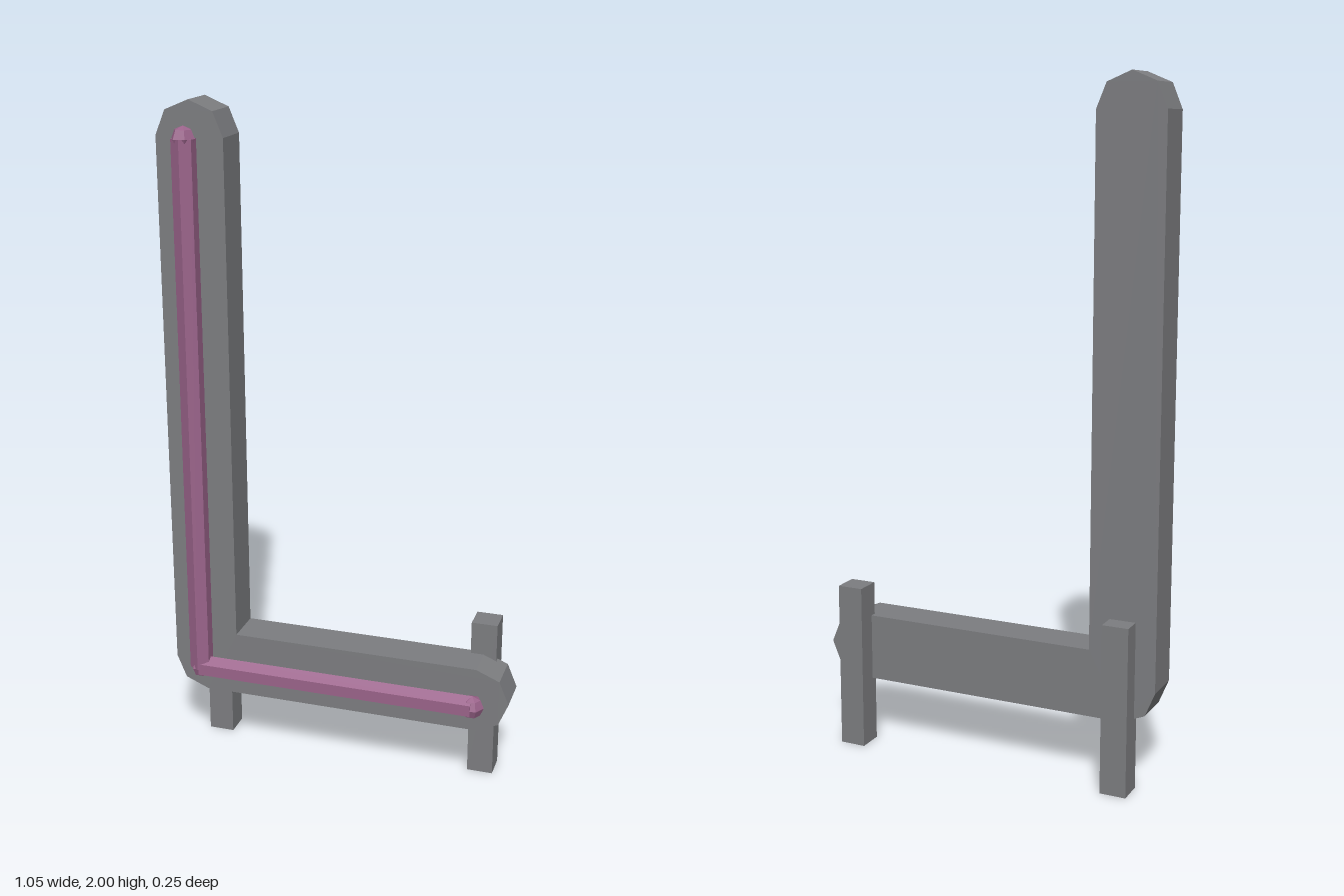
import * as THREE from 'three';

export function createModel() {
  const model = new THREE.Group();
  const grey = new THREE.MeshStandardMaterial({ color: 0x7c7d80, flatShading: true });
  grey.name = 'grey metal';
  const mauve = new THREE.MeshStandardMaterial({ color: 0x9a638a, flatShading: true });
  mauve.name = 'mauve tube';

  const add = (name, geometry, material, x, y, z) => {
    const mesh = new THREE.Mesh(geometry, material);
    mesh.name = name;
    mesh.position.set(x, y, z);
    model.add(mesh);
    return mesh;
  };

  // Bar centre lines: an upright and a foot meeting at the corner
  const X = 0.425, LOW = 0.3, HIGH = 1.9, R = 0.1;

  // Backing board with faceted round ends
  const outline = [];
  const arc = (cx, cy, from, to) => {
    for (let a = from; a <= to; a += 45) {
      const t = THREE.MathUtils.degToRad(a);
      outline.push(new THREE.Vector2(cx + R * Math.cos(t), cy + R * Math.sin(t)));
    }
  };
  arc(-X, HIGH, 0, 180);
  arc(-X, LOW, 180, 270);
  arc(X, LOW, 270, 450);
  outline.push(new THREE.Vector2(-X + R, LOW + R));
  const board = new THREE.ExtrudeGeometry(new THREE.Shape(outline), { depth: 0.12, bevelEnabled: false });
  add('backingBoard', board, grey, 0, 0, -0.07);

  // Rear support posts
  for (const side of [-1, 1]) {
    add(side < 0 ? 'rightPost' : 'leftPost', new THREE.BoxGeometry(0.078, 0.5, 0.078), grey, side * X, 0.25, -0.09);
  }

  // Six-sided light tubes with round caps
  const r = 0.035, z = 0.09;
  const tube = length => new THREE.CylinderGeometry(r, r, length, 6).rotateY(Math.PI / 2);
  add('uprightTube', tube(HIGH - LOW).rotateY(Math.PI), mauve, -X, (HIGH + LOW) / 2, z)
    .rotation.y = Math.PI / 2;
  add('footTube', tube(2 * X).rotateY(Math.PI / 2).rotateZ(Math.PI / 2).rotateX(Math.PI / 2), mauve, 0, LOW, z);
  for (const [name, x, y] of [['topCap', -X, HIGH], ['cornerCap', -X, LOW], ['footCap', X, LOW]]) {
    add(name, new THREE.SphereGeometry(r, 6, 4), mauve, x, y, z);
  }
  return model;
}
